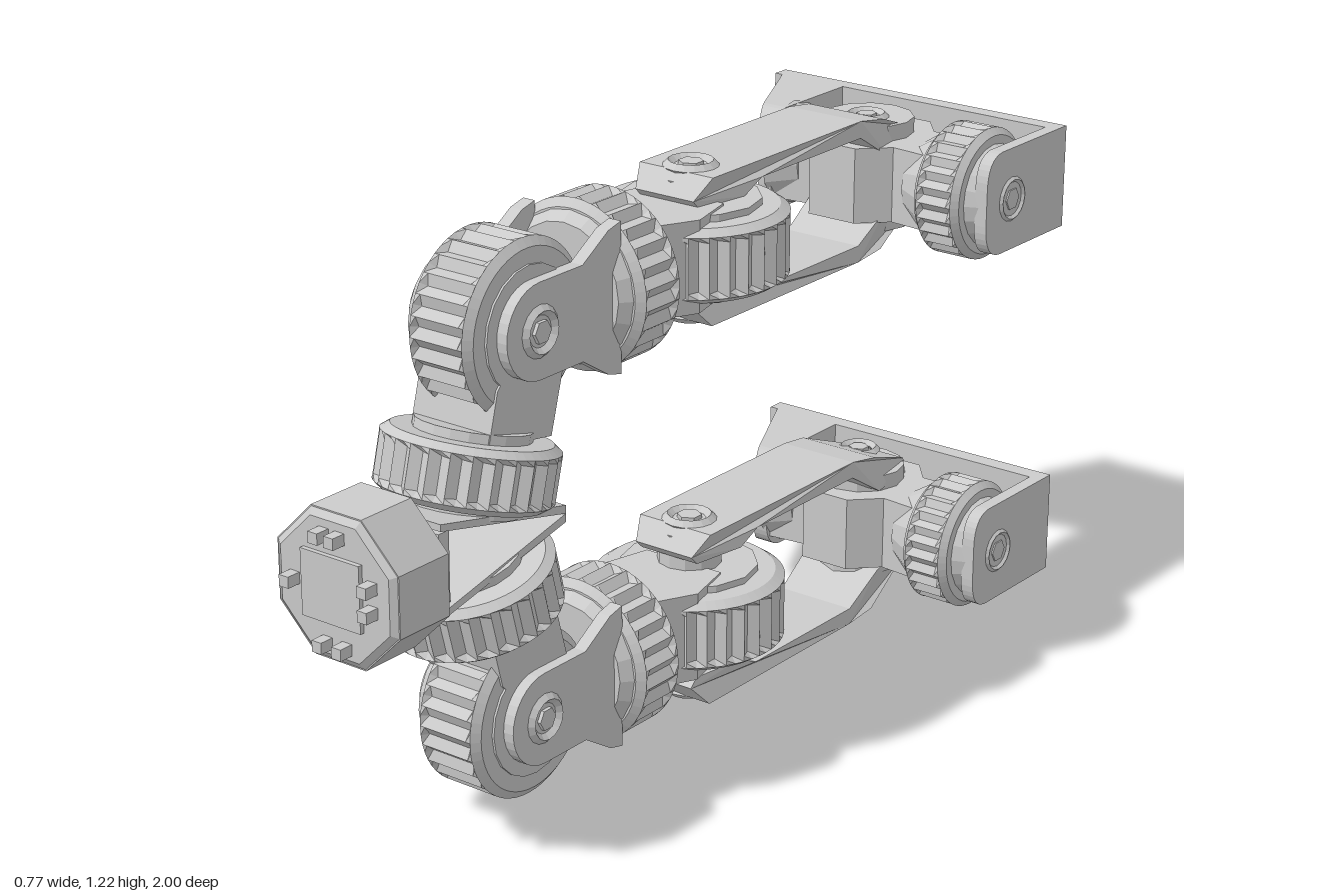
import * as THREE from 'three';

const mat = new THREE.MeshStandardMaterial({ color: 0xcccccc, flatShading: true, side: THREE.DoubleSide });

function add(parent, name, geo, x = 0, y = 0, z = 0) {
  const m = new THREE.Mesh(geo, mat);
  m.name = name;
  m.position.set(x, y, z);
  parent.add(m);
  return m;
}

const box = (w, h, d) => new THREE.BoxGeometry(w, h, d);

// Turn a y-axis solid so that it lies along x, y or z
function along(geo, axis) {
  if (axis === 'x') geo.rotateZ(-Math.PI / 2);
  if (axis === 'z') geo.rotateX(Math.PI / 2);
  return geo;
}

const disc = (r0, r1, h, axis, n = 20) => along(new THREE.CylinderGeometry(r1, r0, h, n), axis);

// Motor drum: bevelled lathe whose every other column is pinched into a V groove
function drum(r, h, axis, teeth = 26) {
  const e = h / 2;
  const profile = [
    [0, -e], [r * 0.55, -e], [r * 0.9, -e], [r, -e + 0.014], [r, -e + 0.026],
    [r, e - 0.026], [r, e - 0.014], [r * 0.9, e], [r * 0.55, e], [0, e],
  ].map(p => new THREE.Vector2(...p));
  const geo = new THREE.LatheGeometry(profile, teeth * 2);
  const pos = geo.attributes.position;
  for (let i = 0; i < pos.count; i++) {
    const row = i % profile.length, column = Math.floor(i / profile.length);
    if (column % 2 && (row === 4 || row === 5)) {
      pos.setX(i, pos.getX(i) * 0.92);
      pos.setZ(i, pos.getZ(i) * 0.92);
    }
  }
  return along(geo, axis);
}

function extrude(pts, depth) {
  const shape = pts instanceof THREE.Shape ? pts : new THREE.Shape(pts.map(p => new THREE.Vector2(...p)));
  return new THREE.ExtrudeGeometry(shape, { depth, bevelEnabled: false, curveSegments: 8 });
}
// Outline in (z, y), thick from x0 to x1
const sidePlate = (pts, x0, x1) => extrude(pts, x1 - x0).rotateY(-Math.PI / 2).translate(x1, 0, 0);
// Outline in (x, z), thick from y0 to y1
const topPlate = (pts, y0, y1) => extrude(pts, y1 - y0).rotateX(Math.PI / 2).translate(0, y1, 0);

// Pivot cap: ring with a recessed screw
function pivot(parent, name, r, axis, x, y, z) {
  const g = new THREE.Group();
  g.name = name;
  g.position.set(x, y, z);
  const ring = new THREE.TorusGeometry(r * 0.8, r * 0.2, 4, 16);
  if (axis === 'x') ring.rotateY(Math.PI / 2);
  if (axis === 'y') ring.rotateX(Math.PI / 2);
  add(g, 'pivotRing', ring);
  add(g, 'pivotScrew', disc(r * 0.45, r * 0.45, r * 0.3, axis, 6));
  parent.add(g);
}

// Shank plate: side outline bent by a rule so it is narrower in the middle
function shankPlate(height, dir, thick) {
  const outline = [[-0.05, -0.045], [-0.09, 0], [-0.62, 0], [-0.70, -0.012], [-0.86, -0.07],
    [-0.87, -0.11], [-0.72, -0.10], [-0.62, -thick], [-0.26, -thick], [-0.2, -0.065], [-0.07, -0.065]];
  const geo = new THREE.BufferGeometry();
  const n = outline.length, v = [], idx = [];
  for (const sx of [-1, 1]) for (const [z, y] of outline) {
    const w = z < -0.8 ? 0.07 : z < -0.68 ? 0.1 : z > -0.08 ? 0.075 : 0.095;
    v.push(sx * w, dir * (height + y), z);
  }
  for (let i = 0; i < n; i++) {
    const j = (i + 1) % n;
    idx.push(i, j, n + i, j, n + j, n + i);
  }
  for (const t of THREE.ShapeUtils.triangulateShape(outline.map(p => new THREE.Vector2(...p)), [])) {
    idx.push(...t, t[0] + n, t[2] + n, t[1] + n);
  }
  geo.setAttribute('position', new THREE.Float32BufferAttribute(v, 3));
  geo.setIndex(idx);
  geo.computeVertexNormals();
  return geo;
}

// s = +1 for the upper leg, -1 for the lower leg; built around y = 0
function buildLeg(s, plateUp, plateDown) {
  const leg = new THREE.Group();

  // Hip yaw drum, tilted towards the pelvis
  const yaw = new THREE.Group();
  yaw.name = 'hipYaw';
  yaw.position.set(0, -s * 0.283, 0.578);
  yaw.rotation.x = -s * 0.26;
  add(yaw, 'hipYawDrum', drum(0.182, 0.13, 'y'));
  add(yaw, 'hipYawFlange', disc(0.12, 0.12, 0.17, 'y'));
  leg.add(yaw);
  add(leg, 'hipBracket', sidePlate([[0.63, -s * 0.21], [0.44, -s * 0.24], [0.4, -s * 0.1], [0.5, 0], [0.6, -s * 0.1]], -0.1, 0.1));

  // Hip pitch drum and the fork that carries the thigh
  add(leg, 'hipPitchDrum', drum(0.181, 0.16, 'x'), 0.015, 0, 0.5);
  add(leg, 'hipPitchHub', disc(0.13, 0.13, 0.2, 'x'), 0, 0, 0.5);
  for (const side of [-1, 1]) {
    const arm = new THREE.Shape();
    arm.moveTo(0.25, -0.16);
    arm.lineTo(0.29, -0.15);
    arm.lineTo(0.37, -0.1);
    arm.lineTo(0.5, -0.1);
    arm.absarc(0.5, 0, 0.1, -Math.PI / 2, Math.PI / 2, false);
    arm.lineTo(0.37, 0.1);
    arm.lineTo(0.29, 0.15);
    arm.lineTo(0.25, 0.16);
    add(leg, 'thighForkArm', sidePlate(arm, side > 0 ? 0.095 : -0.125, side > 0 ? 0.125 : -0.095));
    pivot(leg, 'hipPivot', 0.055, 'x', side * 0.125, 0, 0.5);
  }
  add(leg, 'thighForkBase', disc(0.165, 0.14, 0.03, 'z'), 0, 0, 0.262);

  // Thigh roll drum and its neck to the knee
  add(leg, 'thighRollDrum', drum(0.181, 0.135, 'z'), 0, 0, 0.186);
  add(leg, 'thighNeck', disc(0.1, 0.13, 0.05, 'z', 12), 0, 0, 0.1);
  add(leg, 'kneeSaddle', topPlate([[-0.08, 0.1], [0.08, 0.1], [0.13, 0], [0.1, -0.12], [-0.1, -0.12], [-0.13, 0]], -0.1, 0.1));

  // Knee drum with stepped hubs
  add(leg, 'kneeDrum', drum(0.208, 0.16, 'y', 30), 0, 0, -0.14);
  add(leg, 'kneeHub', disc(0.15, 0.15, 0.19, 'y', 12), 0, 0, -0.14);
  for (const d of [-1, 1]) {
    const top = d > 0 ? plateUp : plateDown;
    add(leg, 'kneeBoss', disc(0.07, 0.07, top - 0.1, 'y', 12), 0, d * (top + 0.06) / 2, -0.14);
    add(leg, 'shankPlate', shankPlate(top, d, 0.038));
    pivot(leg, 'kneePivot', 0.06, 'y', 0, d * top, -0.14);
    pivot(leg, 'anklePivot', 0.05, 'y', 0, d * (top - 0.04), -0.78);
  }

  // Ankle block and side motor
  add(leg, 'ankleBlock', topPlate([[-0.19, -0.7], [-0.1, -0.71], [-0.06, -0.65], [0.06, -0.65], [0.12, -0.71],
    [0.22, -0.7], [0.22, -0.87], [0.12, -0.87], [0.07, -0.93], [-0.07, -0.93], [-0.11, -0.86], [-0.19, -0.87]], -0.085, 0.085));
  add(leg, 'ankleCore', disc(0.1, 0.1, 0.24, 'y', 12), 0, 0, -0.79);
  add(leg, 'ankleFlange', disc(0.085, 0.13, 0.07, 'x', 16), 0.185, 0, -0.785);
  add(leg, 'ankleFlange', disc(0.12, 0.085, 0.07, 'x', 16), -0.165, 0, -0.785);
  add(leg, 'ankleDrum', drum(0.146, 0.115, 'x'), 0.272, 0, -0.785);
  add(leg, 'ankleCap', disc(0.115, 0.1, 0.035, 'x'), 0.342, 0, -0.785);

  // Foot: sole plate, thin outer cheek and wedge-shaped inner cheek
  add(leg, 'solePlate', box(0.76, 0.23, 0.04), 0, 0, -0.98);
  const cheek = new THREE.Shape();
  cheek.moveTo(-1, -0.115);
  cheek.lineTo(-0.74, -0.115);
  cheek.quadraticCurveTo(-0.685, -0.11, -0.685, -0.04);
  cheek.lineTo(-0.685, 0.04);
  cheek.quadraticCurveTo(-0.685, 0.11, -0.74, 0.115);
  cheek.lineTo(-1, 0.115);
  add(leg, 'footCheek', sidePlate(cheek, 0.35, 0.38));
  pivot(leg, 'footPivot', 0.055, 'x', 0.375, 0, -0.785);

  // The wedge is the cheek outline with its outer face pulled out towards the sole
  const wedge = sidePlate(cheek, -0.38, -0.19);
  const pos = wedge.attributes.position;
  for (let i = 0; i < pos.count; i++) {
    if (pos.getX(i) < -0.3) pos.setX(i, -0.225 - 0.155 * (-0.685 - pos.getZ(i)) / 0.315);
  }
  add(leg, 'footWedge', wedge);
  pivot(leg, 'footPivot', 0.055, 'x', -0.19, 0, -0.785);
  return leg;
}

export function createModel() {
  const model = new THREE.Group();
  model.name = 'robotLegs';

  const upper = buildLeg(1, 0.16, 0.16);
  upper.name = 'upperLeg';
  upper.position.y = 1.028;
  const lower = buildLeg(-1, 0.195, 0.202);
  lower.name = 'lowerLeg';
  lower.position.y = 0.202;
  model.add(upper, lower);

  // Pelvis: waist motor, its bracket and two splayed plates
  const pelvis = new THREE.Group();
  pelvis.name = 'pelvis';
  pelvis.position.y = 0.615;
  const waist = disc(0.168, 0.168, 0.14, 'z', 8).rotateZ(Math.PI / 8);
  add(pelvis, 'waistMotor', waist, 0.003, 0, 0.888);
  add(pelvis, 'waistCap', disc(0.168, 0.15, 0.012, 'z', 8).rotateZ(Math.PI / 8), 0.003, 0, 0.962);
  add(pelvis, 'waistPanel', box(0.15, 0.14, 0.012), 0, 0, 0.972);
  add(pelvis, 'waistFlange', disc(0.09, 0.13, 0.06, 'z', 12), 0, 0, 0.795);
  add(pelvis, 'pelvisBracket', box(0.2, 0.15, 0.03), 0, 0, 0.765);
  for (const d of [-1, 1]) {
    add(pelvis, 'pelvisPlate', sidePlate([[0.785, d * 0.1], [0.785, d * 0.085], [0.41, 0], [0.41, d * 0.018]], -0.11, 0.11));
  }
  // Small clips standing off the waist motor's front
  for (const [x, y] of [[-0.02, 0.11], [0.02, 0.11], [0.1, 0.03], [0.1, -0.02], [-0.02, -0.115], [0.03, -0.115], [-0.1, 0]]) {
    add(pelvis, 'waistClip', box(0.024, 0.024, 0.05), x, y, 0.975);
  }
  model.add(pelvis);
  return model;
}
